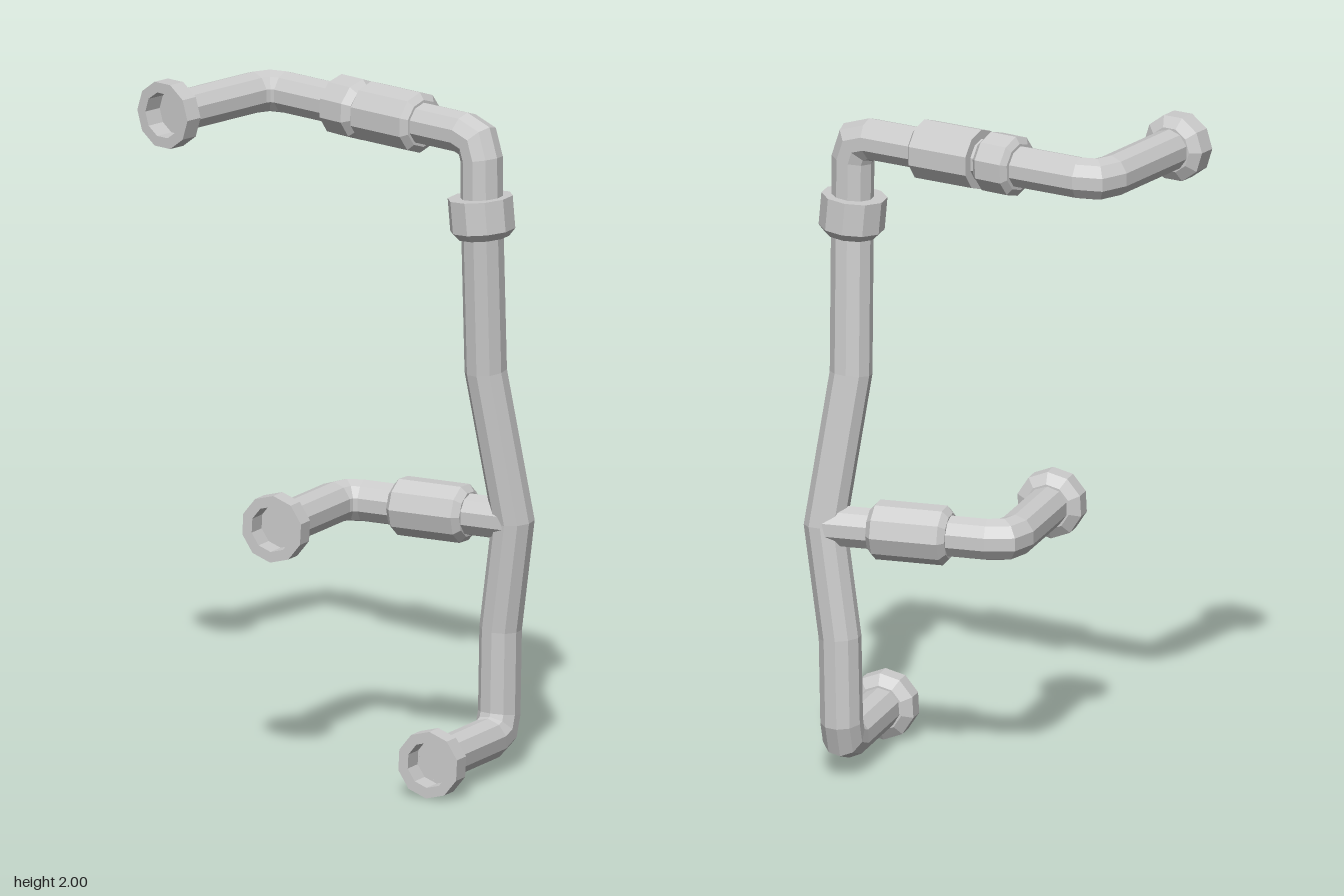
import * as THREE from 'three';

const SIDES = 10;
const PIPE_R = 0.062;
const v = (x, y, z) => new THREE.Vector3(x, y, z);

const material = new THREE.MeshStandardMaterial({
  color: 0xcccccc, flatShading: true, side: THREE.DoubleSide,
});

// Replace the corner b between a and c by a short three-point bend
function elbow(a, b, c, cut = 0.065) {
  const p = b.clone().add(a.clone().sub(b).setLength(cut));
  const q = b.clone().add(c.clone().sub(b).setLength(cut));
  const mid = p.clone().add(q).multiplyScalar(0.5).lerp(b, 0.5);
  return [p, mid, q];
}

// Faceted pipe with mitred joints: each ring slides along its segment onto the mitre plane
function pipe(name, path) {
  const dir = (i) => path[i + 1].clone().sub(path[i]).normalize();
  const last = path.length - 1;
  const d0 = dir(0);
  const up = v(0, 1, 0);
  const across = d0.clone().cross(up).normalize();
  let ring = [];
  for (let s = 0; s < SIDES; s++) {
    const a = (s / SIDES) * Math.PI * 2;
    ring.push(path[0].clone()
      .addScaledVector(up, Math.cos(a) * PIPE_R)
      .addScaledVector(across, Math.sin(a) * PIPE_R));
  }
  const positions = [];
  const index = [];
  path.forEach((p, i) => {
    if (i > 0) {
      const d = dir(i - 1);
      const normal = i < last ? d.clone().add(dir(i)).normalize() : d;
      ring = ring.map((q) => q.clone().addScaledVector(
        d, p.clone().sub(q).dot(normal) / d.dot(normal)));
    }
    ring.forEach((q) => positions.push(q.x, q.y, q.z));
    if (i === last) return;
    for (let s = 0; s < SIDES; s++) {
      const a = i * SIDES + s;
      const b = i * SIDES + (s + 1) % SIDES;
      index.push(a, b, a + SIDES, b, b + SIDES, a + SIDES);
    }
  });
  const geometry = new THREE.BufferGeometry();
  geometry.setAttribute('position', new THREE.Float32BufferAttribute(positions, 3));
  geometry.setIndex(index);
  geometry.computeVertexNormals();
  const mesh = new THREE.Mesh(geometry, material);
  mesh.name = name;
  return mesh;
}

// Turned part whose profile [radius, distance] runs from a point along a direction
function turned(name, profile, start, direction) {
  const points = profile.map(([r, y]) => new THREE.Vector2(r, y));
  const mesh = new THREE.Mesh(new THREE.LatheGeometry(points, SIDES), material);
  mesh.name = name;
  mesh.position.copy(start);
  mesh.quaternion.setFromUnitVectors(v(0, 1, 0), direction.clone().normalize());
  return mesh;
}

// Hollow end flange with a chamfered back
const flange = (name, start, direction) => turned(name, [
  [0, 0.06], [0.068, 0.06], [0.068, 0], [0.1, 0], [0.1, 0.055], [0.068, 0.075], [0.05, 0.075],
], start, direction);

// Coupling sleeve between two points, with chamfers of the given lengths at its ends
function sleeve(name, from, to, r, c0, c1) {
  const axis = to.clone().sub(from);
  const len = axis.length();
  return turned(name, [
    [0.04, 0], [r - (c0 ? 0.02 : 0), 0], [r, c0], [r, len - c1], [r - (c1 ? 0.02 : 0), len], [0.04, len],
  ], from, axis);
}

export function createModel() {
  const group = new THREE.Group();
  group.name = 'pipework';

  // Directions of the top outlet and of the two turned lower outlets
  const topDir = v(1, 0, 0);
  const lowDir = v(Math.cos(Math.PI / 12), 0, -Math.sin(Math.PI / 12));
  const branchDir = v(lowDir.z, 0, -lowDir.x);

  const topEnd = v(-0.29, 1.904, -0.465);
  const middleEnd = v(-0.305, 0.75, -0.015);
  const bottomEnd = v(-0.155, 0.102, 0.465);
  const inside = (end, direction) => end.clone().addScaledVector(direction, 0.06);

  // Main run: top outlet, back to front, then down the bent riser to the bottom outlet
  const start = inside(topEnd, topDir);
  const backCorner = v(0.16, 1.904, -0.465);
  const frontCorner = v(0.16, 1.904, 0.38);
  const neck = v(0.16, 1.66, 0.383);
  const knee = v(0.262, 0.42, 0.36);
  const foot = v(0.262, 0.102, 0.353);
  const finish = inside(bottomEnd, lowDir);
  const junction = v(0.26, 0.75, 0.412);
  group.add(pipe('mainPipe', [
    start,
    ...elbow(start, backCorner, frontCorner),
    ...elbow(backCorner, frontCorner, neck),
    neck, v(0.192, 1.2, 0.367), junction, knee,
    ...elbow(knee, foot, finish),
    finish,
  ]));

  // Side branch leaving the riser
  const branchCorner = junction.clone().addScaledVector(branchDir, 0.555);
  const branchFinish = inside(middleEnd, lowDir);
  group.add(pipe('branchPipe', [
    junction, ...elbow(junction, branchCorner, branchFinish), branchFinish,
  ]));

  // End flanges
  group.add(flange('topFlange', topEnd, topDir));
  group.add(flange('middleFlange', middleEnd, lowDir));
  group.add(flange('bottomFlange', bottomEnd, lowDir));

  // Couplings
  const along = (t) => junction.clone().addScaledVector(branchDir, t);
  group.add(sleeve('longSleeve', v(0.16, 1.904, 0.15), v(0.16, 1.904, -0.06), 0.09, 0.015, 0));
  group.add(sleeve('shortSleeve', v(0.158, 1.904, -0.075), v(0.163, 1.904, -0.195), 0.09, 0.02, 0.012));
  group.add(sleeve('riserCollar', v(0.157, 1.725, 0.378), v(0.16, 1.607, 0.388), 0.096, 0, 0.022));
  group.add(sleeve('branchSleeve', along(0.142), along(0.382), 0.087, 0.018, 0.018));

  return group;
}
